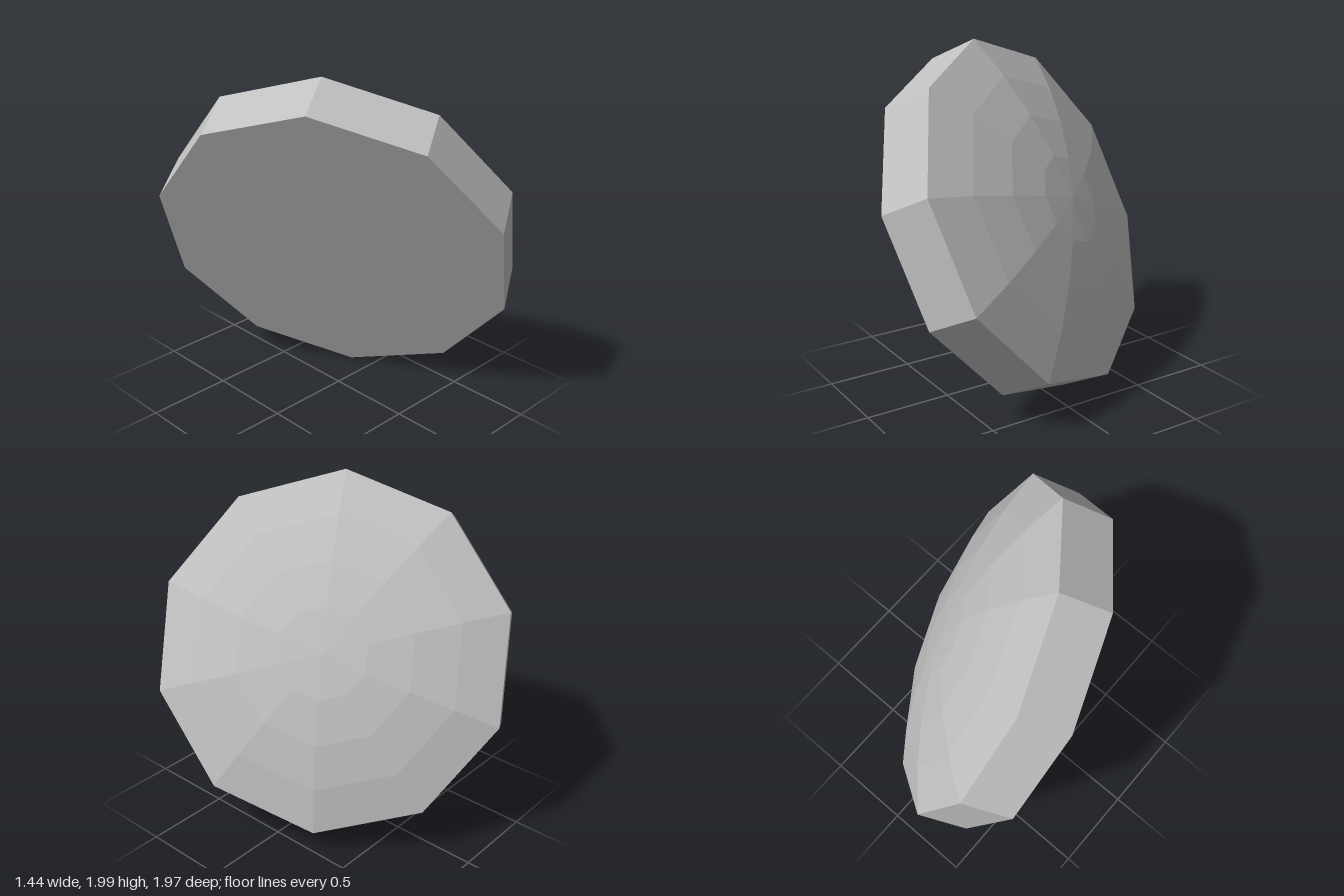
import * as THREE from 'three';

const SIDES = 10;
const RADIUS = 1.025;
const THICKNESS = 0.305;
const DOME_HEIGHT = 0.21;

// Faceted surface of revolution from [radius, height] pairs, listed bottom to top
function facetedLathe(profile, material, name) {
  const points = profile.map(([r, h]) => new THREE.Vector2(r, h));
  const geometry = new THREE.LatheGeometry(points, SIDES).toNonIndexed();
  geometry.computeVertexNormals();
  const mesh = new THREE.Mesh(geometry, material);
  mesh.name = name;
  return mesh;
}

export function createModel() {
  const grey = new THREE.MeshStandardMaterial({ color: 0xc0c0c0 });
  grey.name = 'stone grey';

  const disc = new THREE.Group();
  disc.name = 'tiltedDisc';

  // Flat-backed ten-sided plate
  const plate = [[0, -THICKNESS], [RADIUS, -THICKNESS], [RADIUS, 0]];
  disc.add(facetedLathe(plate, grey, 'plate'));

  // Shallow dome in four rings
  const dome = [1, 0.75, 0.5, 0.25, 0].map((k) => [RADIUS * k, DOME_HEIGHT * (1 - k * k)]);
  disc.add(facetedLathe(dome, grey, 'dome'));

  // Tilt: local y is the dome axis, local z points at the topmost rim corner
  const axis = new THREE.Vector3(0.79, 0.42, -0.44).normalize();
  const corner = new THREE.Vector3(-0.37, 0.934, 0.203).projectOnPlane(axis).normalize();
  const side = new THREE.Vector3().crossVectors(axis, corner);
  disc.quaternion.setFromRotationMatrix(new THREE.Matrix4().makeBasis(side, axis, corner));
  disc.position.set(0.12, 1.066, -0.07);

  const model = new THREE.Group();
  model.name = 'domedDisc';
  model.add(disc);
  return model;
}
